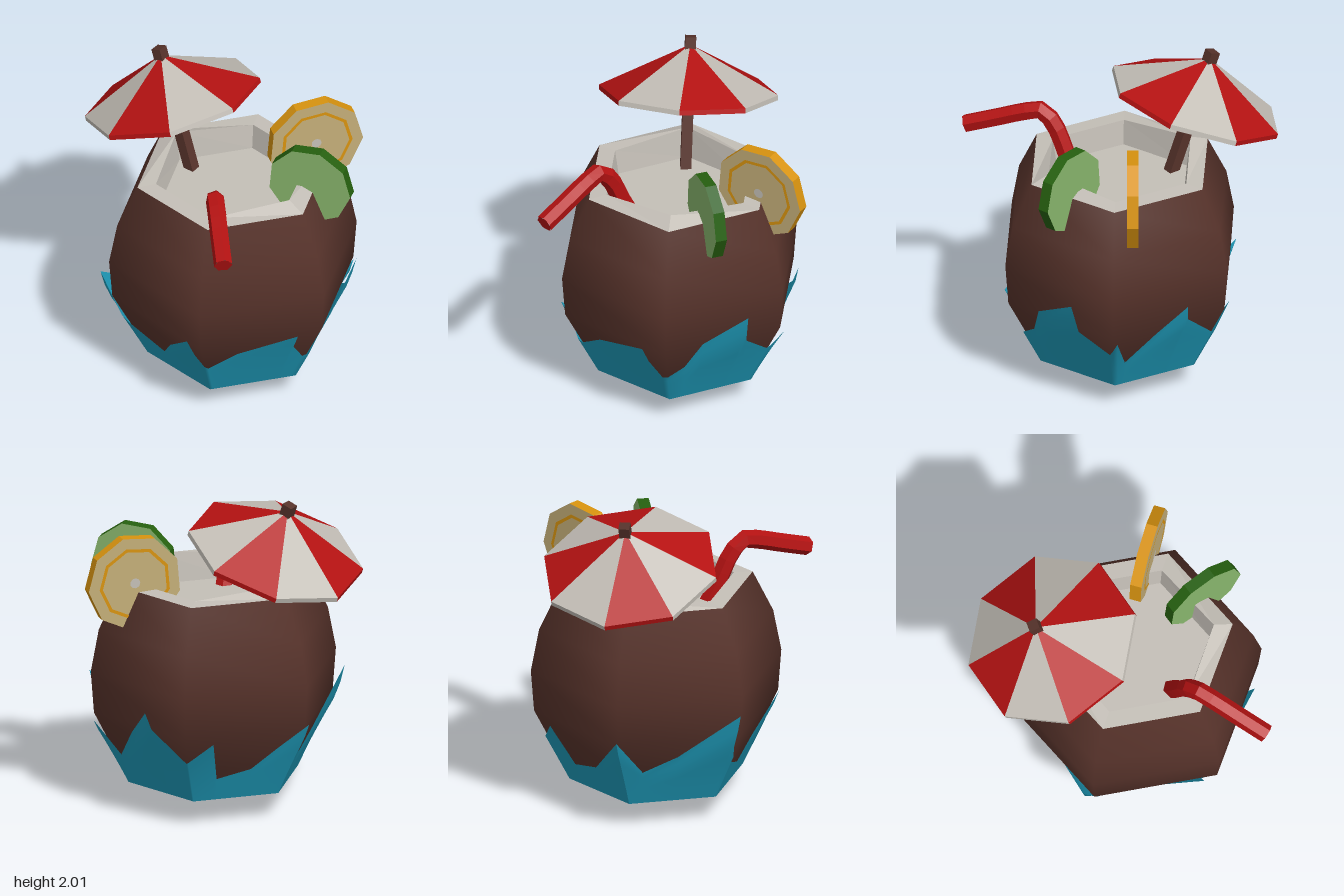
import * as THREE from 'three';

const mat = (name, color, side = THREE.FrontSide) => {
  const m = new THREE.MeshStandardMaterial({ color, side });
  m.name = name;
  return m;
};
const rad = THREE.MathUtils.degToRad;
const CX = 0.125; // centre of the shell in x

// Shell profile: [corner radius, height]
const PROFILE = [[0.515, 0.16], [0.62, 0.37], [0.745, 0.62], [0.765, 0.88], [0.715, 1.14], [0.59, 1.4]];

function shellRadius(y) {
  for (let i = 1; i < PROFILE.length; i++) {
    const [r0, y0] = PROFILE[i - 1], [r1, y1] = PROFILE[i];
    if (y <= y1) return r0 + (r1 - r0) * (y - y0) / (y1 - y0);
  }
  return 0.59;
}

// Distance to a unit hexagon's edge at an angle in degrees
const hexScale = (deg) => Math.cos(rad(30)) / Math.cos(rad((((deg % 60) + 60) % 60) - 30));

const hexLathe = (points) =>
  new THREE.LatheGeometry(points.map(([r, y]) => new THREE.Vector2(r, y)), 6, Math.PI / 6);

function flat(geometry) {
  const g = geometry.index ? geometry.toNonIndexed() : geometry;
  g.computeVertexNormals();
  return g;
}

// Jagged wave wrapped round the shell: [angle, top height, outset of the tip]
function splashGeometry() {
  const tips = [
    [-180, 0.65, 0.02], [-170, 0.5, 0], [-157, 0.36, 0], [-135, 0.31, 0], [-133, 0.58, 0.03],
    [-119, 0.44, 0], [-100, 0.63, 0.01], [-98, 0.74, 0.04], [-83, 0.56, 0], [-66, 0.36, 0], [-62, 0.58, 0.03],
    [-58, 0.45, 0], [-42, 0.6, 0.02], [-40, 0.8, 0.06], [-18, 0.65, 0.01], [-9, 0.46, 0],
    [3, 0.37, 0], [10.5, 0.49, 0], [12, 0.62, 0.02], [43, 0.51, 0], [58.5, 0.4, 0],
    [65, 0.51, 0], [67, 0.65, 0.02], [84.5, 0.45, 0], [96, 0.31, 0], [119, 0.42, 0],
    [122, 0.55, 0.01], [123.5, 0.78, 0.06], [150, 0.5, 0], [170, 0.4, 0], [180, 0.65, 0.02]];
  // add columns on the shell's corners so the wave follows its faces
  const columns = [...tips];
  for (const a of [-120, -60, 0, 60, 120]) {
    const k = tips.findIndex((t) => t[0] > a);
    const [p, q] = [tips[k - 1], tips[k]];
    const f = (a - p[0]) / (q[0] - p[0]);
    columns.push([a, p[1] + f * (q[1] - p[1]), p[2] + f * (q[2] - p[2])]);
  }
  columns.sort((a, b) => a[0] - b[0]);

  const rows = 6, pos = [], idx = [];
  columns.forEach(([deg, top, out], c) => {
    for (let j = 0; j <= rows; j++) {
      const t = j / rows, y = 0.16 + (top - 0.16) * t;
      const r = (shellRadius(y) + 0.014) * hexScale(deg) + out * t * t;
      pos.push(r * Math.cos(rad(deg)), y, r * Math.sin(rad(deg)));
      if (c > 0 && j < rows) {
        const b = c * (rows + 1) + j, a = b - rows - 1;
        idx.push(a, a + 1, b, b, a + 1, b + 1);
      }
    }
  });
  const g = new THREE.BufferGeometry();
  g.setAttribute('position', new THREE.Float32BufferAttribute(pos, 3));
  g.setIndex(idx);
  g.computeVertexNormals();
  return g;
}

// Every second wedge of the parasol canopy, with a thin edge and underside
function canopyGeometry(first) {
  const R = 0.538, H = 0.28, T = 0.03, pos = [];
  const at = (i, y) => [R * Math.cos(i * Math.PI / 4), y, -R * Math.sin(i * Math.PI / 4)];
  for (let i = first; i < 8; i += 2) {
    const p0 = at(i, 0), p1 = at(i + 1, 0), q0 = at(i, -T), q1 = at(i + 1, -T);
    const a = [0, H, 0], b = [0, H - T, 0];
    pos.push(...[a, p0, p1, b, q1, q0, p0, q0, q1, p0, q1, p1].flat());
  }
  const g = new THREE.BufferGeometry();
  g.setAttribute('position', new THREE.Float32BufferAttribute(pos, 3));
  return flat(g);
}

export function createModel() {
  const brown = mat('shell brown', 0x56322a);
  const white = mat('off white', 0xc4bfb7);
  const red = mat('red', 0xb51212);
  const teal = mat('wave teal', 0x1f9cbb, THREE.DoubleSide);
  const blue = mat('deep blue', 0x0a5f95);
  const orange = mat('orange rind', 0xd8930f);
  const orangeFlesh = mat('orange flesh', 0xc4ae78);
  const green = mat('lime rind', 0x26600f);
  const limeFlesh = mat('lime flesh', 0x88b56c);

  const model = new THREE.Group();
  const add = (parent, name, geometry, material) => {
    const mesh = new THREE.Mesh(geometry, material);
    mesh.name = name;
    parent.add(mesh);
    return mesh;
  };

  // Shell, pointed base, wave and hollow top
  const shell = new THREE.Group();
  shell.name = 'shell';
  shell.position.x = CX;
  model.add(shell);
  add(shell, 'shellBody', hexLathe(PROFILE), brown);
  add(shell, 'shellBase', flat(hexLathe([[0, 0], [0.529, 0.16]])), blue);
  add(shell, 'wave', splashGeometry(), teal);
  const rim = hexLathe([[0.59, 1.4], [0.475, 1.405], [0.45, 1.25], [0, 1.25]]);
  const p = rim.attributes.position;
  for (let i = 0; i < p.count; i++) { // lift the inner corners on the x axis
    if (Math.abs(p.getZ(i)) < 0.01 && Math.abs(p.getY(i) - 1.405) < 0.001) p.setY(i, 1.445);
  }
  add(shell, 'rimAndFilling', flat(rim), white);

  // Tilted parasol
  const parasol = new THREE.Group();
  parasol.name = 'parasol';
  parasol.position.set(-0.385, 1.69, 0);
  parasol.rotation.z = 0.351;
  model.add(parasol);
  add(parasol, 'canopyRed', canopyGeometry(0), red);
  add(parasol, 'canopyWhite', canopyGeometry(1), white);
  const stick = add(parasol, 'stick', new THREE.BoxGeometry(0.065, 0.85, 0.065), brown);
  stick.position.y = -0.095;
  stick.rotation.y = 0.15;

  // Bent drinking straw with closed end
  const path = new THREE.CatmullRomCurve3([
    [0.285, 1.2, 0.26], [0.315, 1.33, 0.32], [0.365, 1.52, 0.39], [0.42, 1.6, 0.45],
    [0.5, 1.577, 0.515], [0.63, 1.517, 0.62], [0.78, 1.45, 0.74],
  ].map((v) => new THREE.Vector3(...v)));
  add(model, 'straw', flat(new THREE.TubeGeometry(path, 12, 0.056, 6)), red);
  const cap = add(model, 'strawEnd', new THREE.CircleGeometry(0.056, 6), red);
  cap.position.copy(path.getPoint(1));
  cap.lookAt(path.getPoint(1).add(path.getTangent(1)));

  // Fruit slices: nine-sided discs with rind round the edge
  function slice(name, R, position, turn, rind, flesh) {
    const g = new THREE.Group();
    g.name = name;
    g.position.set(...position);
    g.rotation.y = turn;
    model.add(g);
    const edge = new THREE.CylinderGeometry(R, R, 0.07, 9, 1, true);
    edge.rotateX(Math.PI / 2).rotateZ(rad(165));
    add(g, name + 'Rind', flat(edge), rind);
    for (const s of [1, -1]) {
      const face = new THREE.Group();
      face.name = name + (s > 0 ? 'Front' : 'Back');
      face.rotation.y = s > 0 ? 0 : Math.PI;
      g.add(face);
      const start = rad(s > 0 ? 75 : 105);
      add(face, name + 'Flesh', new THREE.CircleGeometry(R, 9, start), flesh).position.z = 0.035;
      if (flesh === orangeFlesh) {
        add(face, name + 'Ring', new THREE.RingGeometry(R * 0.7, R * 0.77, 9, 1, start), rind).position.z = 0.039;
        add(face, name + 'Pith', new THREE.CircleGeometry(0.032, 9), white).position.z = 0.039;
      }
    }
  }
  slice('orangeSlice', 0.295, [0.3, 1.46, -0.515], rad(63), orange, orangeFlesh);
  slice('limeSlice', 0.26, [0.57, 1.44, -0.215], rad(25.5), green, limeFlesh);

  return model;
}
